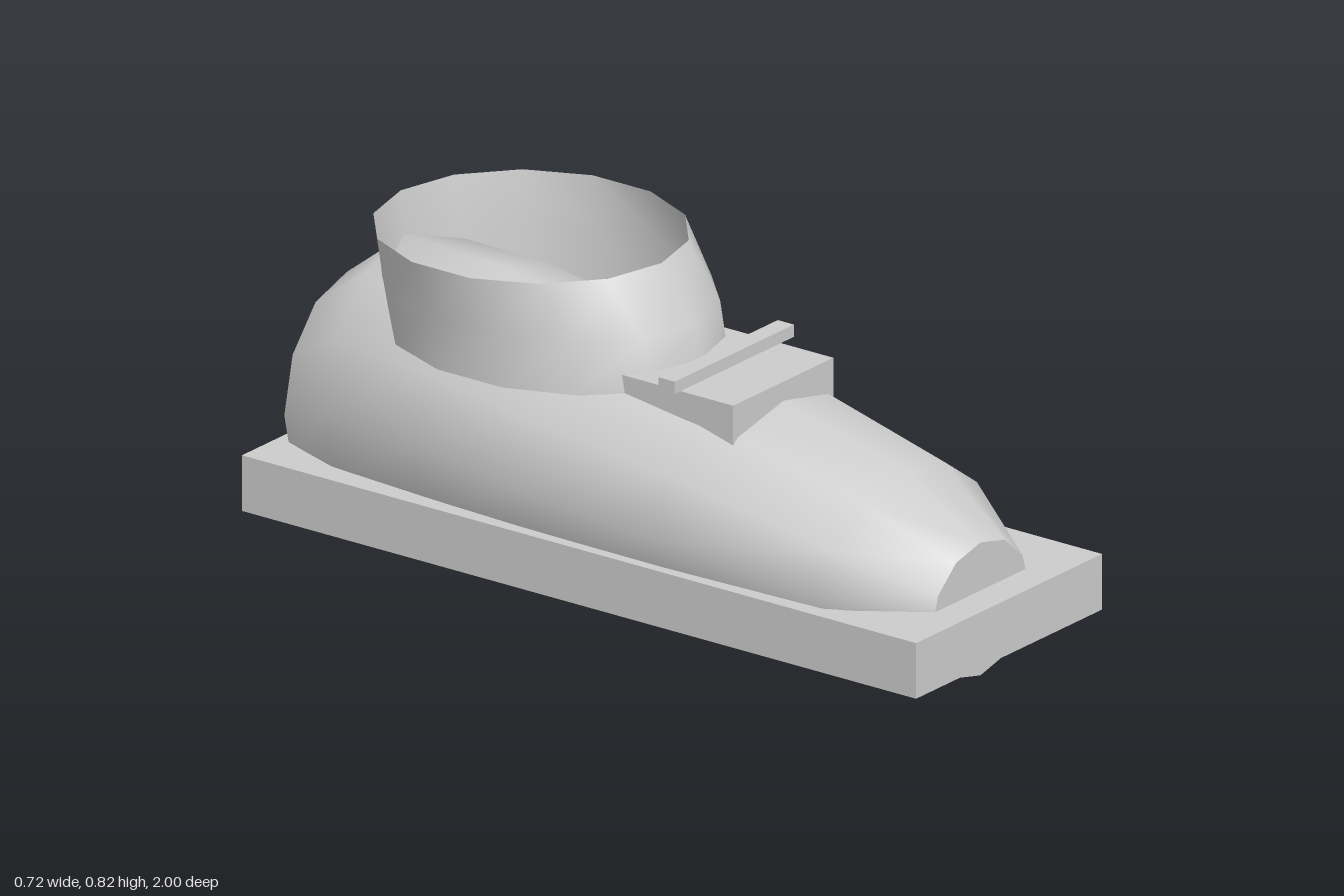
import * as THREE from 'three';

// Elliptical rings joined in order; each ring is { rx, ry, at: [x, y, z] }.
// Upright rings stand in the xy plane, flat ones lie in the xz plane.
function loft(rings, sides, upright) {
  const pos = [], index = [];
  rings.forEach(({ rx, ry, at }) => {
    for (let i = 0; i < sides; i++) {
      const a = (i / sides) * Math.PI * 2;
      const u = rx * Math.sin(a), v = ry * Math.cos(a);
      if (upright) pos.push(at[0] + u, at[1] + v, at[2]);
      else pos.push(at[0] + u, at[1], at[2] + v);
    }
  });
  for (let r = 0; r < rings.length - 1; r++) {
    for (let i = 0; i < sides; i++) {
      const j = (i + 1) % sides;
      const a = r * sides + i, b = r * sides + j;
      index.push(a, b, b + sides, a, b + sides, a + sides);
    }
  }
  const g = new THREE.BufferGeometry();
  g.setAttribute('position', new THREE.Float32BufferAttribute(pos, 3));
  g.setIndex(index);
  g.computeVertexNormals();
  return g;
}

export function createModel() {
  const model = new THREE.Group();
  const grey = new THREE.MeshStandardMaterial({ color: 0xcccccc, side: THREE.DoubleSide });
  grey.name = 'light grey';

  const add = (name, geometry) => {
    const mesh = new THREE.Mesh(geometry, grey);
    mesh.name = name;
    model.add(mesh);
    return mesh;
  };
  const box = (name, x, y0, y1, z0, z1) => {
    const mesh = add(name, new THREE.BoxGeometry(x * 2, y1 - y0, z1 - z0));
    mesh.position.set(0, (y0 + y1) / 2, (z0 + z1) / 2);
  };

  // Shoe body: [z, half width, height], heel... toe; every section rests on y = 0
  const sections = [
    [0.915, 0.19, 0.337], [0.69, 0.325, 0.465], [0.23, 0.36, 0.582],
    [-0.2, 0.362, 0.645], [-0.5, 0.35, 0.70], [-0.79, 0.325, 0.712],
    [-0.965, 0.243, 0.575],
  ].reverse();
  const bodyRings = sections.map(([z, w, h]) => ({ rx: w, ry: h / 2, at: [0, h / 2, z] }));
  const body = loft(bodyRings, 12, true);
  // rings run clockwise seen from the front, so turn the faces outward
  const idx = body.index.array;
  for (let i = 0; i < idx.length; i += 3) [idx[i + 1], idx[i + 2]] = [idx[i + 2], idx[i + 1]];
  body.computeVertexNormals();
  add('shoeBody', body);

  // Flat ends of the body
  const cap = (name, ring, back) => {
    const mesh = add(name, new THREE.CircleGeometry(1, 12));
    mesh.scale.set(ring.rx, ring.ry, 1);
    mesh.position.set(...ring.at);
    if (back) mesh.rotation.y = Math.PI;
  };
  cap('heelCap', bodyRings[0], true);
  cap('toeCap', bodyRings[bodyRings.length - 1], false);

  // Open ankle collar, leaning back toward the top
  add('ankleCollar', loft([
    { rx: 0.349, ry: 0.435, at: [0, 0.56, -0.34] },
    { rx: 0.35, ry: 0.43, at: [0, 0.69, -0.36] },
    { rx: 0.361, ry: 0.387, at: [0, 0.82, -0.418] },
  ], 14, false));

  // Sole slab, tongue and lace bar
  box('sole', 0.362, 0.074, 0.215, -1, 1);
  box('tongue', 0.195, 0.5, 0.605, -0.2, 0.33);
  box('laceBar', 0.232, 0.612, 0.643, 0.137, 0.185);

  return model;
}
